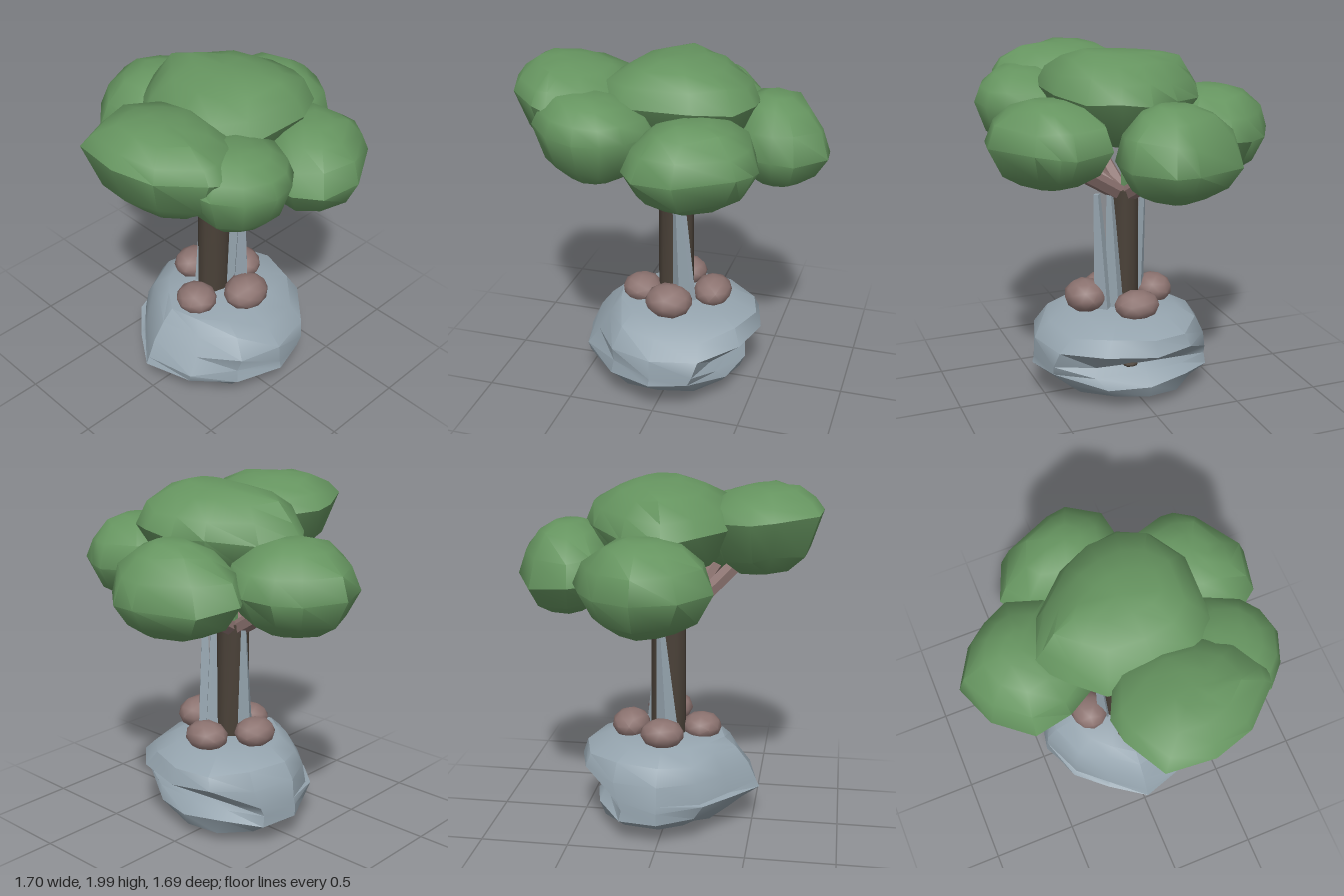
import * as THREE from 'three';
import { toCreasedNormals } from 'three/addons/utils/BufferGeometryUtils.js';

const material = (name, color) => new THREE.MeshStandardMaterial({ name, color });

function randomizer(seed) {
  return () => (seed = (seed * 16807) % 2147483647) / 2147483647;
}

// Closed, softly creased solid from stacked rings of [x, y, z], bottom to top
function loft(rings, crease) {
  const n = rings[0].length, pos = rings.flat(2), index = [];
  for (let i = 0; i < rings.length - 1; i++) {
    for (let j = 0; j < n; j++) {
      const k = (j + 1) % n;
      const a = i * n + j, b = i * n + k, c = b + n, d = a + n;
      index.push(a, d, c, a, c, b);
    }
  }
  const cap = (start, top) => {
    const centre = pos.length / 3, sum = [0, 0, 0];
    for (let j = 0; j < n; j++) for (let q = 0; q < 3; q++) sum[q] += pos[(start + j) * 3 + q] / n;
    pos.push(...sum);
    for (let j = 0; j < n; j++) {
      const a = start + j, b = start + (j + 1) % n;
      index.push(centre, top ? b : a, top ? a : b);
    }
  };
  cap(0, false);
  cap((rings.length - 1) * n, true);
  const geo = new THREE.BufferGeometry();
  geo.setAttribute('position', new THREE.Float32BufferAttribute(pos, 3));
  geo.setIndex(index);
  return toCreasedNormals(geo.toNonIndexed(), crease);
}

// Leaf clump: a plan outline swollen below and above its waist (a share of the height);
// tilts slope it along x and z, ridge stretches its crest along z
function clump(outline, { low, high, waist = 0.46, tiltX = 0, tiltZ = 0, ridge = 0, seed }) {
  const rnd = randomizer(seed * 977 + 5);
  const up = (t) => waist + (1 - waist) * t;
  const levels = [[0, 0.46], [waist * 0.33, 0.78], [waist, 1], [up(0.48), 0.87], [up(0.85), 0.57], [1, 0.27]];
  const cx = outline.reduce((s, p) => s + p[0], 0) / outline.length;
  const cz = outline.reduce((s, p) => s + p[1], 0) / outline.length;
  const rings = levels.map(([h, s], i) => outline.map(([x, z]) => {
    const spread = s === 1 ? 1 : s * (0.97 + rnd() * 0.06);
    const stretch = i > 3 ? ridge * (1 - spread) : 0;
    const dx = (x - cx) * spread, dz = (z - cz) * (spread + stretch);
    const wobble = h > 0 && h < 1 ? (rnd() - 0.5) * 0.03 : 0;
    return [cx + dx, low + h * (high - low) + tiltX * dx + tiltZ * dz + wobble, cz + dz];
  }));
  return loft(rings, 0.85);
}

export function createModel() {
  const model = new THREE.Group();
  model.name = 'treeOnRock';
  const leaf = material('leaf green', 0x669560);
  const stone = material('blue grey stone', 0x95a4ae);
  const clay = material('reddish brown', 0x8c7370);
  const bark = material('dark bark', 0x4a4138);

  const add = (name, geo, mat, parent = model) => {
    const mesh = new THREE.Mesh(geo, mat);
    mesh.name = name;
    parent.add(mesh);
    return mesh;
  };
  const group = (name) => {
    const g = new THREE.Group();
    g.name = name;
    model.add(g);
    return g;
  };

  // Base rock: [y, reach to -x, +x, -z, +z, depth of the hollow on the +x side]
  const rnd = randomizer(4242);
  const rockLevels = [
    [0, 0.1, 0.1, 0.1, 0.12, 0], [0.03, 0.26, 0.23, 0.27, 0.29, 0], [0.07, 0.36, 0.39, 0.37, 0.39, 0],
    [0.14, 0.44, 0.42, 0.47, 0.47, 0], [0.21, 0.54, 0.4, 0.47, 0.57, 0.05], [0.25, 0.52, 0.44, 0.46, 0.56, 0.13],
    [0.36, 0.47, 0.51, 0.45, 0.55, 0], [0.45, 0.4, 0.48, 0.39, 0.46, 0], [0.51, 0.33, 0.34, 0.28, 0.33, 0],
    [0.53, 0.12, 0.14, 0.12, 0.14, 0],
  ];
  // Trim of each of the twelve sides, from +x round through +z
  const trim = [1, 1, 1.02, 1, 1.03, 0.98, 1, 0.84, 0.9, 1, 1.02, 1];
  const rockRings = rockLevels.map(([y, xn, xp, zn, zp, hollow]) => trim.map((t, j) => {
    const a = (j / trim.length) * Math.PI * 2, c = Math.cos(a), s = Math.sin(a);
    const pocket = j === 4 && hollow ? 0.9 : 1;
    const r = j % 3 === 0 ? 1 : t * pocket * (0.98 + rnd() * 0.06);
    const dy = y > 0.05 && y < 0.5 && j % 3 ? (rnd() - 0.5) * 0.05 : 0;
    const dent = c > 0.8 ? hollow * c * c : 0;
    return [c * r * (c > 0 ? xp : xn) - dent, y + dy, s * r * (s > 0 ? zp : zn)];
  }));
  add('baseRock', loft(rockRings, 0.6), stone);

  // Dark root tip showing in the hollow
  const root = add('rootTip', new THREE.SphereGeometry(1, 8, 6), bark);
  root.scale.set(0.035, 0.016, 0.045);
  root.position.set(0.3, 0.25, 0.08);

  // Boulders round the foot of the trunk: centre, then half sizes
  const boulders = group('boulders');
  [
    [0.025, 0.59, 0.25, 0.13, 0.09, 0.115],
    [0.22, 0.565, 0.01, 0.105, 0.08, 0.125],
    [-0.19, 0.55, 0.06, 0.11, 0.075, 0.115],
    [0.01, 0.575, -0.17, 0.12, 0.08, 0.105],
  ].forEach(([x, y, z, sx, sy, sz], i) => {
    const geo = new THREE.IcosahedronGeometry(1, 1).rotateY(i * 1.3).rotateX(i * 0.7);
    geo.scale(sx * 1.06, sy * 1.06, sz * 1.06);
    add('boulder', toCreasedNormals(geo, 0.9), clay, boulders).position.set(x, y, z);
  });

  // Trunk
  const trunk = add('trunk', toCreasedNormals(new THREE.CylinderGeometry(0.1, 0.104, 0.74, 10).toNonIndexed(), 0.8), bark);
  trunk.position.set(0, 0.83, 0.01);
  trunk.scale.z = 0.85;

  // Tapering rods between two points
  const rod = (name, from, to, r0, r1, sides, mat, parent) => {
    const a = new THREE.Vector3(...from), b = new THREE.Vector3(...to), dir = b.clone().sub(a);
    const geo = new THREE.CylinderGeometry(r1, r0, dir.length(), sides).toNonIndexed();
    geo.computeVertexNormals();
    const mesh = add(name, geo, mat, parent);
    mesh.position.copy(a).add(b).multiplyScalar(0.5);
    mesh.quaternion.setFromUnitVectors(new THREE.Vector3(0, 1, 0), dir.normalize());
    return mesh;
  };

  // Stone splinters standing against the trunk
  const splinters = group('splinters');
  rod('outerSplinter', [0.08, 0.48, 0.155], [0.05, 1.19, 0.185], 0.06, 0.02, 4, stone, splinters);
  rod('innerSplinter', [0.085, 0.48, 0.09], [0.055, 1.19, 0.11], 0.06, 0.02, 4, stone, splinters);
  rod('backSplinter', [-0.01, 0.48, -0.075], [0.03, 1.18, -0.1], 0.045, 0.015, 4, stone, splinters).scale.x = 1.5;

  // Branches fanning out to the clumps, and the central shoot
  const branches = group('branches');
  [[-0.48, 1.62, 0.17], [-0.29, 1.55, 0.46], [0.24, 1.48, 0.5], [0.54, 1.46, -0.1], [0.05, 1.47, -0.52]]
    .forEach(([x, y, z]) => {
      const l = Math.hypot(x, z);
      rod('branch', [0.02 * x / l, 1.16, 0.02 * z / l], [x, y, z], 0.048, 0.048, 6, clay, branches);
    });
  rod('centralShoot', [0, 1.18, 0], [0, 1.7, 0], 0.02, 0.03, 5, leaf, branches);

  // Crown: plan outlines of [x, z], then the swelling of each clump
  const crown = group('crown');
  add('centreClump', clump([[0.47, 0.02], [0.48, 0.2], [0.4, 0.36], [0.2, 0.47], [-0.18, 0.46], [-0.34, 0.33],
    [-0.38, 0.1], [-0.34, -0.18], [-0.2, -0.33], [-0.03, -0.47], [0.2, -0.36], [0.39, -0.15]],
  { low: 1.49, high: 1.98, waist: 0.55, tiltZ: 0.07, ridge: 0.3, seed: 1 }), leaf, crown);
  add('rightClump', clump([[-0.17, 0.1], [-0.2, 0.35], [-0.34, 0.53], [-0.52, 0.61], [-0.6, 0.59], [-0.78, 0.4],
    [-0.85, 0.18], [-0.83, -0.08], [-0.6, -0.2], [-0.47, -0.22], [-0.26, -0.12]],
  { low: 1.48, high: 1.95, waist: 0.66, tiltX: -0.08, seed: 2 }), leaf, crown);
  add('frontRightClump', clump([[0.02, 0.47], [-0.08, 0.66], [-0.18, 0.74], [-0.32, 0.77], [-0.48, 0.71],
    [-0.6, 0.6], [-0.62, 0.45], [-0.55, 0.25], [-0.3, 0.15], [-0.08, 0.22]],
  { low: 1.43, high: 1.86, waist: 0.6, tiltX: -0.08, seed: 3 }), leaf, crown);
  add('frontLeftClump', clump([[0.57, 0.47], [0.56, 0.55], [0.5, 0.67], [0.22, 0.84], [0, 0.8], [-0.1, 0.67],
    [-0.11, 0.5], [0, 0.3], [0.25, 0.18], [0.5, 0.25]],
  { low: 1.34, high: 1.78, seed: 4 }), leaf, crown);
  add('leftClump', clump([[0.85, 0.05], [0.7, 0.23], [0.58, 0.25], [0.46, 0.23], [0.3, 0.1], [0.26, -0.15],
    [0.33, -0.38], [0.47, -0.48], [0.7, -0.39], [0.84, -0.08]],
  { low: 1.29, high: 1.77, waist: 0.4, tiltX: -0.06, tiltZ: 0.04, seed: 5 }), leaf, crown);
  add('backClump', clump([[0.44, -0.46], [0.35, -0.25], [0.05, -0.18], [-0.2, -0.22], [-0.28, -0.36], [-0.32, -0.57],
    [-0.16, -0.76], [0.07, -0.85], [0.28, -0.73], [0.38, -0.6]],
  { low: 1.28, high: 1.76, tiltZ: 0.04, seed: 6 }), leaf, crown);

  return model;
}
